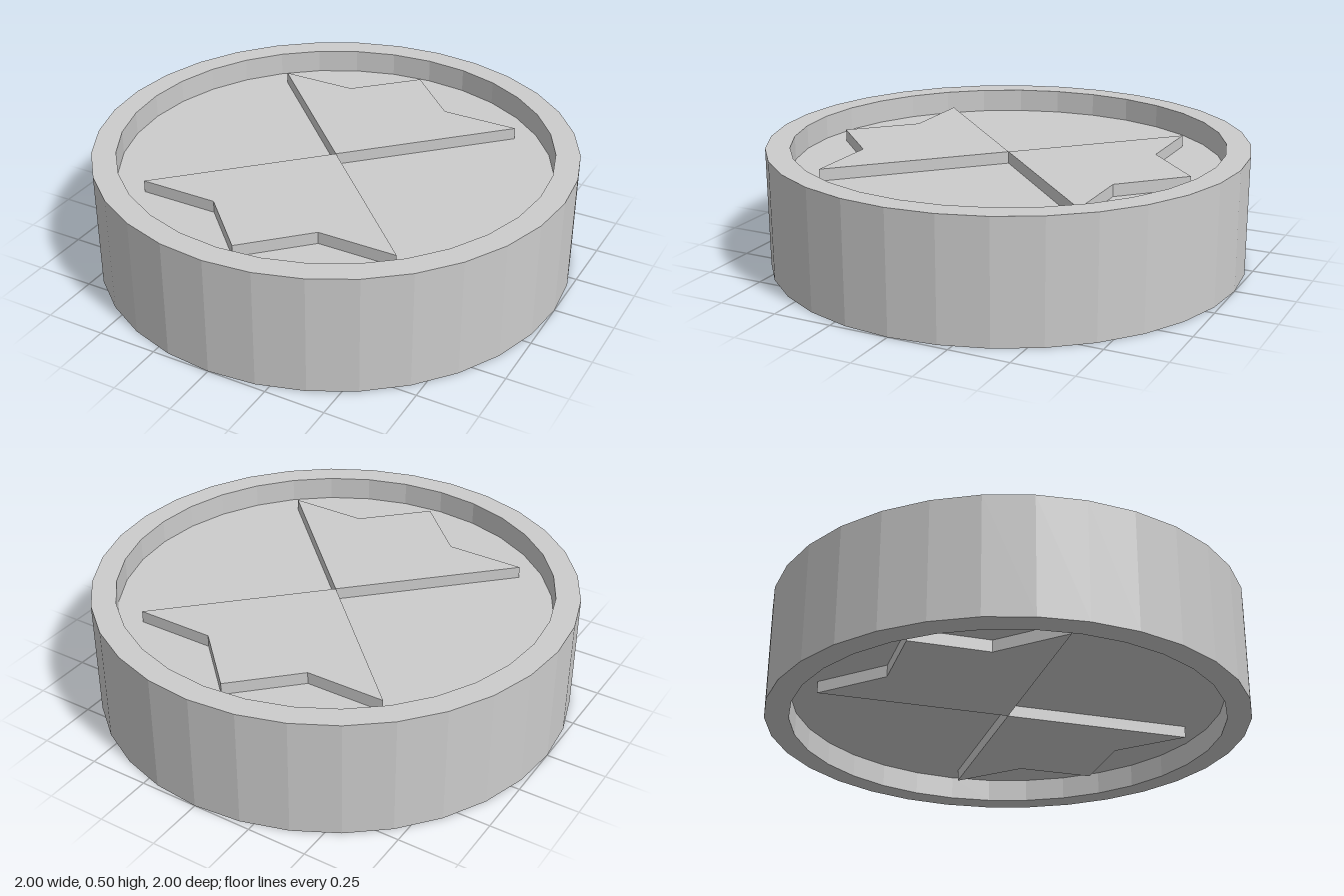
import * as THREE from 'three';

const material = new THREE.MeshStandardMaterial({ color: 0xcccccc, flatShading: true });

// One half of the bow-tie emblem: a wedge ending in three points of an eight-pointed star
function petalGeometry(bottom, top) {
  const r = 0.8, d = r * Math.SQRT1_2;
  const shape = new THREE.Shape([
    new THREE.Vector2(0, 0),
    new THREE.Vector2(d, d),
    new THREE.Vector2(r - d, d),
    new THREE.Vector2(0, r),
    new THREE.Vector2(d - r, d),
    new THREE.Vector2(-d, d),
  ]);
  return new THREE.ExtrudeGeometry(shape, { depth: top - bottom, bevelEnabled: false })
    .rotateX(-Math.PI / 2)
    .translate(0, bottom, 0);
}

// Two opposite petals, turned about the vertical axis
function emblem(name, bottom, top, turn) {
  const group = new THREE.Group();
  group.name = name;
  const geometry = petalGeometry(bottom, top);
  for (let i = 0; i < 2; i++) {
    const petal = new THREE.Mesh(geometry, material);
    petal.name = 'petal';
    petal.rotation.y = turn + i * Math.PI;
    group.add(petal);
  }
  return group;
}

export function createModel() {
  const model = new THREE.Group();
  model.name = 'disc';

  // Round body with a rim and a shallow recess on both faces
  const profile = [[0, 0.1], [0.9, 0.1], [0.9, 0], [1, 0], [1, 0.5], [0.9, 0.5], [0.9, 0.4], [0, 0.4]]
    .map(([x, y]) => new THREE.Vector2(x, y));
  const body = new THREE.Mesh(new THREE.LatheGeometry(profile, 32), material);
  body.name = 'body';
  model.add(body);

  // Raised emblems, set slightly into the recess floors; the lower one is a quarter turn round
  model.add(emblem('topEmblem', 0.38, 0.45, 0));
  model.add(emblem('bottomEmblem', 0.05, 0.12, Math.PI / 2));

  return model;
}
